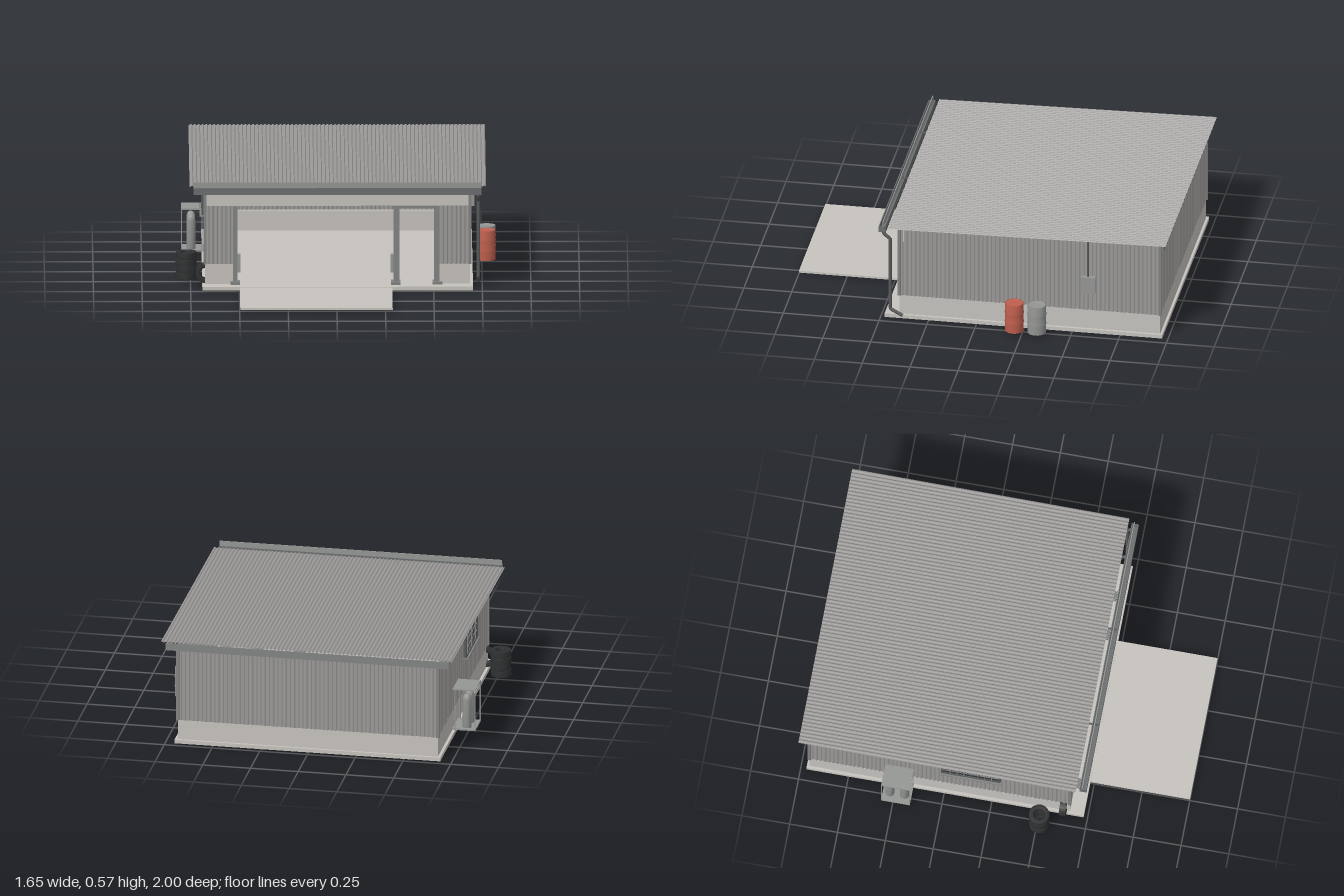
import * as THREE from 'three';

const mat = (name, color, side = THREE.FrontSide) => {
  const m = new THREE.MeshStandardMaterial({ color, side });
  m.name = name;
  return m;
};

export function createModel() {
  const root = new THREE.Group();
  root.name = 'workshopGarage';
  const concrete = mat('concrete', 0xc6c3be);
  const sheet = mat('corrugated sheet', 0x9b9997, THREE.DoubleSide);
  const steel = mat('steel trim', 0x828383);
  const gutter = mat('gutter metal', 0x6c6d6e);
  const dark = mat('dark steel', 0x58595a);
  const grey = mat('light grey paint', 0x949694);
  const red = mat('red paint', 0xc05f4e);
  const rubber = mat('rubber', 0x303132);
  const glass = mat('dark glass', 0x35393b);

  const add = (name, geo, m, parent = root) => {
    const mesh = new THREE.Mesh(geo, m);
    mesh.name = name;
    parent.add(mesh);
    return mesh;
  };
  // Box given by its minimum and maximum on each axis
  const box = (name, m, x0, x1, y0, y1, z0, z1, parent) => {
    const b = add(name, new THREE.BoxGeometry(x1 - x0, y1 - y0, z1 - z0), m, parent);
    b.position.set((x0 + x1) / 2, (y0 + y1) / 2, (z0 + z1) / 2);
    return b;
  };
  // Trapezoid-ribbed sheet in the xy plane
  const ribbed = (w, h, period, depth) => {
    const n = Math.max(1, Math.round(w / period)) * 4;
    const g = new THREE.PlaneGeometry(w, h, n, 1);
    const p = g.attributes.position;
    for (let i = 0; i < p.count; i++) p.setZ(i, (i % (n + 1)) % 4 < 2 ? 0 : depth);
    const flat = g.toNonIndexed();
    flat.computeVertexNormals();
    return flat;
  };

  // Slab and ramp
  box('floorSlab', concrete, -0.69, 0.702, 0, 0.02, -0.97, 0.48);
  box('entranceApron', concrete, -0.497, 0.287, 0.006, 0.017, 0.48, 1);

  // Concrete plinth around the walls
  const L = -0.675, R = 0.687, B = -0.957, F = 0.405, P = 0.125;
  box('plinthLeft', concrete, L, L + 0.025, 0.02, P, B, F);
  box('plinthRight', concrete, R - 0.025, R, 0.02, P, B, F);
  box('plinthBack', concrete, L, R, 0.02, P, B, B + 0.025);
  box('plinthFrontLeft', concrete, L, -0.52, 0.02, P, F - 0.025, F);
  box('plinthFrontRight', concrete, 0.53, R, 0.02, P, F - 0.025, F);

  // Wall cladding: centre x, centre z, width, top, rotation
  const wall = (name, x, z, w, top, ry) => {
    const m = add(name, ribbed(w, top - P, 0.022, 0.004), sheet);
    m.position.set(x, (top + P) / 2, z);
    m.rotation.y = ry;
  };
  const mx = (L + R) / 2, mz = (B + F) / 2;
  wall('claddingRight', R - 0.002, mz, F - B, 0.525, Math.PI / 2);
  wall('claddingLeft', L + 0.002, mz, F - B, 0.525, -Math.PI / 2);
  wall('claddingBack', mx, B + 0.002, R - L, 0.53, Math.PI);
  wall('claddingFrontLeft', (L - 0.52) / 2, F - 0.002, -0.52 - L, 0.43, 0);
  wall('claddingFrontRight', (R + 0.53) / 2, F - 0.002, R - 0.53, 0.43, 0);

  // Front header with blank panel
  box('frontHeader', concrete, L, R, 0.43, 0.525, F - 0.025, F);
  box('headerPanel', concrete, -0.42, 0.205, 0.44, 0.51, F, F + 0.009);

  // Corner trims
  for (const x of [L, R]) for (const z of [B, F])
    box('cornerTrim', steel, x - 0.008, x + 0.008, P, 0.525, z - 0.008, z + 0.008);

  // Front posts with base plates, bolts and jamb guards
  for (const x of [-0.52, 0.305, 0.52]) {
    box('frontPost', steel, x - 0.011, x + 0.011, 0.02, 0.43, F - 0.025, F + 0.012);
    box('postBase', steel, x - 0.025, x + 0.025, 0.02, 0.035, F - 0.03, F + 0.025);
    for (let y = 0.08; y < 0.43; y += 0.08)
      box('postBolt', steel, x - 0.004, x + 0.004, y, y + 0.008, F + 0.012, F + 0.016);
  }
  for (const x of [-0.509, 0.278]) box('jambGuard', grey, x, x + 0.016, 0.08, 0.175, F - 0.02, F + 0.005);
  box('doorHead', steel, 0.316, 0.509, 0.418, 0.43, F - 0.025, F + 0.005);
  for (const x of [0.316, 0.502]) box('doorJamb', steel, x, x + 0.007, 0.02, 0.418, F - 0.02, F);

  // Inner columns
  for (const z of [-0.56, -0.11])
    for (const x of [L + 0.025, R - 0.045])
      box('innerColumn', steel, x, x + 0.02, 0.02, 0.525, z - 0.012, z + 0.012);

  // Roof sheet, rising gently to the back
  const slope = 0.0155;
  const roofY = z => 0.541 + (0.45 - z) * slope;
  const roof = add('roofSheet', ribbed(1.525, 1.45, 0.02, 0.005), sheet);
  roof.position.set(0.007, roofY(-0.275) - 0.002, -0.275);
  roof.rotation.x = -Math.PI / 2 + slope;
  for (let i = 0; i < 6; i++) {
    const z = 0.287 - i * 0.223;
    box('purlin', steel, -0.71, 0.72, roofY(z) - 0.021, roofY(z) - 0.004, z - 0.004, z + 0.004);
  }
  box('backFascia', steel, -0.735, 0.745, 0.515, 0.553, -0.985, -0.978);

  // Front gutter with brackets
  box('gutterBoard', grey, -0.735, 0.745, 0.54, 0.568, 0.478, 0.483);
  box('gutterFloor', gutter, -0.735, 0.745, 0.507, 0.512, 0.468, 0.503);
  box('gutterFront', gutter, -0.735, 0.745, 0.507, 0.54, 0.498, 0.503);
  box('gutterBack', gutter, -0.735, 0.745, 0.507, 0.543, 0.466, 0.471);
  for (const x of [-0.735, 0.74]) box('gutterEnd', gutter, x, x + 0.005, 0.507, 0.54, 0.468, 0.503);
  for (const x of [-0.37, 0.16]) box('gutterBracket', dark, x - 0.004, x + 0.004, 0.53, 0.538, 0.4, 0.5);

  // Downspout
  const path = new THREE.CurvePath();
  const pts = [[0.51, 0.483], [0.495, 0.48], [0.465, 0.445], [0.065, 0.445], [0.03, 0.38]]
    .map(([y, z]) => new THREE.Vector3(0.73, y, z));
  for (let i = 1; i < pts.length; i++) path.add(new THREE.LineCurve3(pts[i - 1], pts[i]));
  add('downspout', new THREE.TubeGeometry(path, 60, 0.009, 10), dark);

  // Meter box and conduit on the right wall
  box('meterBox', grey, R, 0.713, 0.23, 0.32, -0.62, -0.545);
  const conduit = add('conduit', new THREE.CylinderGeometry(0.005, 0.005, 0.205, 12), dark);
  conduit.position.set(R + 0.008, 0.4225, -0.582);

  // Window on the left wall
  const win = new THREE.Group();
  win.name = 'window';
  root.add(win);
  box('pane', glass, L - 0.012, L - 0.005, 0.31, 0.43, -0.255, 0.035, win);
  for (const y of [0.305, 0.428]) box('frameRail', dark, L - 0.018, L + 0.004, y, y + 0.01, -0.265, 0.045, win);
  for (const z of [-0.265, 0.035]) box('frameStile', dark, L - 0.018, L + 0.004, 0.305, 0.438, z, z + 0.01, win);
  box('sill', steel, L - 0.028, L, 0.298, 0.306, -0.27, 0.05, win);
  for (let i = 1; i < 8; i++) {
    const z = -0.255 + i * 0.03625;
    box('windowBar', steel, L - 0.016, L - 0.01, 0.31, 0.43, z - 0.002, z + 0.002, win);
  }
  for (const y of [0.35, 0.39]) box('windowBar', steel, L - 0.016, L - 0.01, y - 0.002, y + 0.002, -0.255, 0.035, win);

  // Turned solid from radius and height pairs
  const lathe = (prof, n) => new THREE.LatheGeometry(prof.map(([a, b]) => new THREE.Vector2(a, b)), n);

  // Drums with rolling hoops
  const r = 0.048;
  const drumGeo = lathe([[0, 0.006], [r - 0.003, 0.006], [r - 0.003, 0], [r, 0], [r, 0.048], [r + 0.003, 0.052],
    [r, 0.056], [r, 0.1], [r + 0.003, 0.104], [r, 0.108], [r, 0.155], [r - 0.004, 0.155], [r - 0.004, 0.152], [0, 0.152]], 24);
  add('redDrum', drumGeo, red).position.set(0.772, 0.02, -0.21);
  add('greyDrum', drumGeo, grey).position.set(0.774, 0.02, -0.328);

  // Tyre stack and one tyre standing by the front corner
  const tyreGeo = lathe([[0.028, 0.003], [0.033, 0], [0.051, 0], [0.053, 0.002], [0.053, 0.033],
    [0.051, 0.035], [0.033, 0.035], [0.028, 0.032], [0.028, 0.003]], 24);
  for (let i = 0; i < 4; i++)
    add('stackedTyre', tyreGeo, rubber).position.set(-0.773 + (i % 2) * 0.002, 0.021 + i * 0.0352, 0.262);
  const lean = add('standingTyre', tyreGeo, rubber);
  lean.position.set(-0.672, 0.073, 0.355);
  lean.rotation.x = Math.PI / 2;

  // Gas bottle cage on the left wall
  const cage = new THREE.Group();
  cage.name = 'gasBottleCage';
  root.add(cage);
  box('cageBase', grey, -0.795, L, 0.02, 0.028, -0.56, -0.41, cage);
  box('cageTop', grey, -0.795, L, 0.238, 0.245, -0.56, -0.41, cage);
  for (const z of [-0.56, -0.415])
    for (const x of [-0.795, L - 0.015]) box('cagePost', grey, x, x + 0.005, 0.028, 0.238, z, z + 0.005, cage);
  const bottleGeo = lathe([[0, 0], [0.023, 0], [0.023, 0.15], [0.021, 0.164], [0.016, 0.175],
    [0.009, 0.181], [0, 0.182]], 18);
  for (const z of [-0.523, -0.447]) add('gasBottle', bottleGeo, grey, cage).position.set(-0.745, 0.028, z);
  return root;
}
